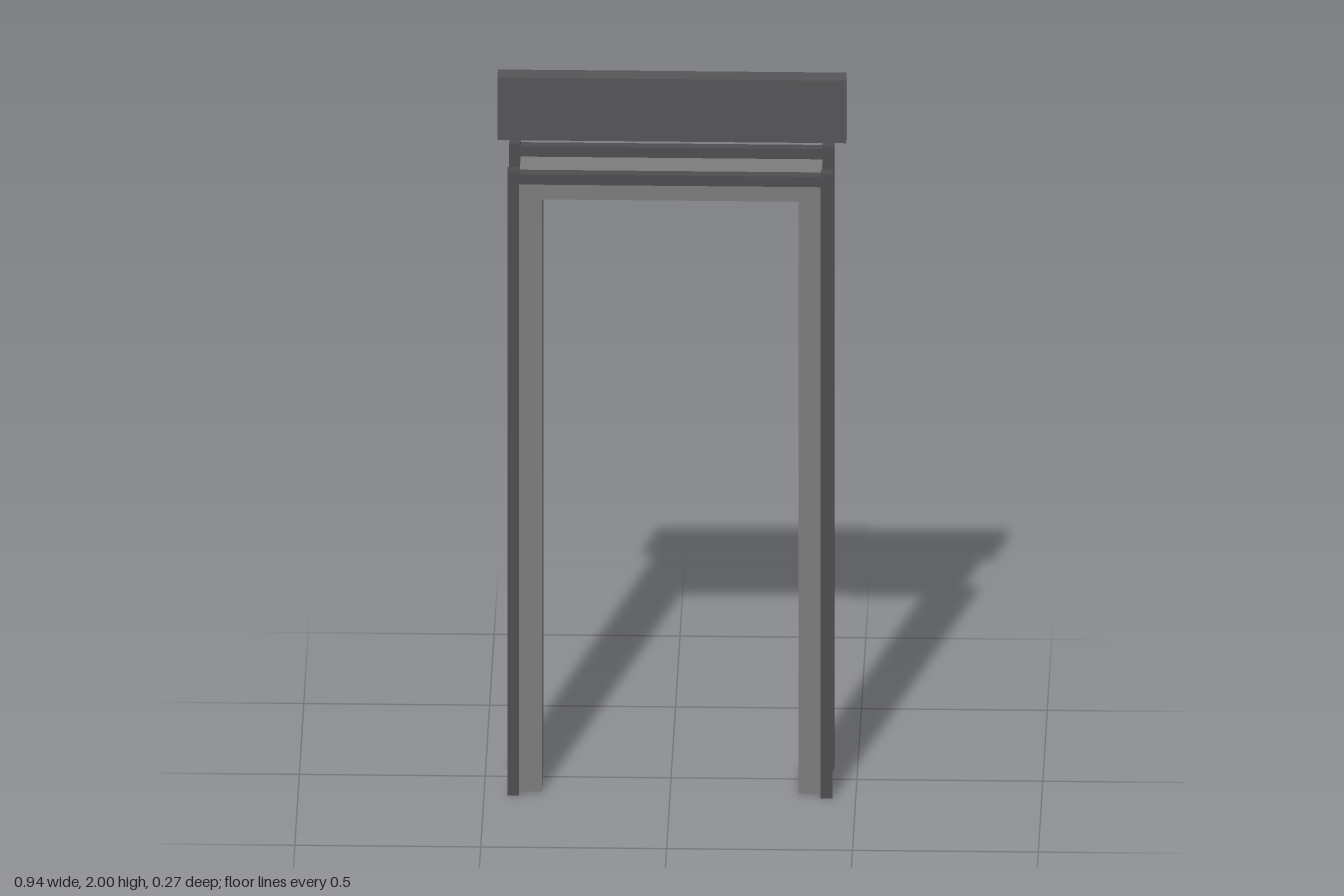
import * as THREE from 'three';

export function createModel() {
  const group = new THREE.Group();
  const jambGrey = new THREE.MeshStandardMaterial({ color: 0x7c7c7d });
  const trimGrey = new THREE.MeshStandardMaterial({ color: 0x4e4e50 });
  const boardGrey = new THREE.MeshStandardMaterial({ color: 0x555557 });

  // Box given by its extents along each axis
  const addBox = (name, material, [x0, x1], [y0, y1], [z0, z1]) => {
    const mesh = new THREE.Mesh(new THREE.BoxGeometry(x1 - x0, y1 - y0, z1 - z0), material);
    mesh.position.set((x0 + x1) / 2, (y0 + y1) / 2, (z0 + z1) / 2);
    mesh.name = name;
    group.add(mesh);
  };

  const inner = 0.345, outer = 0.406, edge = 0.437; // half widths
  const jambTop = 1.778;
  const depth = [-0.061, 0.104];
  const trims = { Front: [0.104, 0.136], Back: [-0.09, -0.061] };

  // Side jambs and the corner trim posts along their outer edges
  for (const [side, s] of [['left', 1], ['right', -1]]) {
    const span = (a, b) => (s > 0 ? [a, b] : [-b, -a]);
    addBox(`${side}Jamb`, jambGrey, span(inner, outer), [0, jambTop], depth);
    for (const [face, z] of Object.entries(trims)) {
      addBox(`${side}${face}TrimPost`, trimGrey, span(outer, edge), [0, 1.816], z);
    }
  }

  // Head jamb between the sides, with a trim rail on each face
  addBox('headJamb', jambGrey, [-inner, inner], [1.722, jambTop], depth);
  for (const [face, z] of Object.entries(trims)) {
    addBox(`trimRail${face}`, trimGrey, [-outer, outer], [jambTop, 1.808], z);
  }

  // Tall header board behind and above the frame
  addBox('headerBoard', boardGrey, [-0.469, 0.469], [1.818, 2], [-0.136, -0.079]);

  return group;
}
